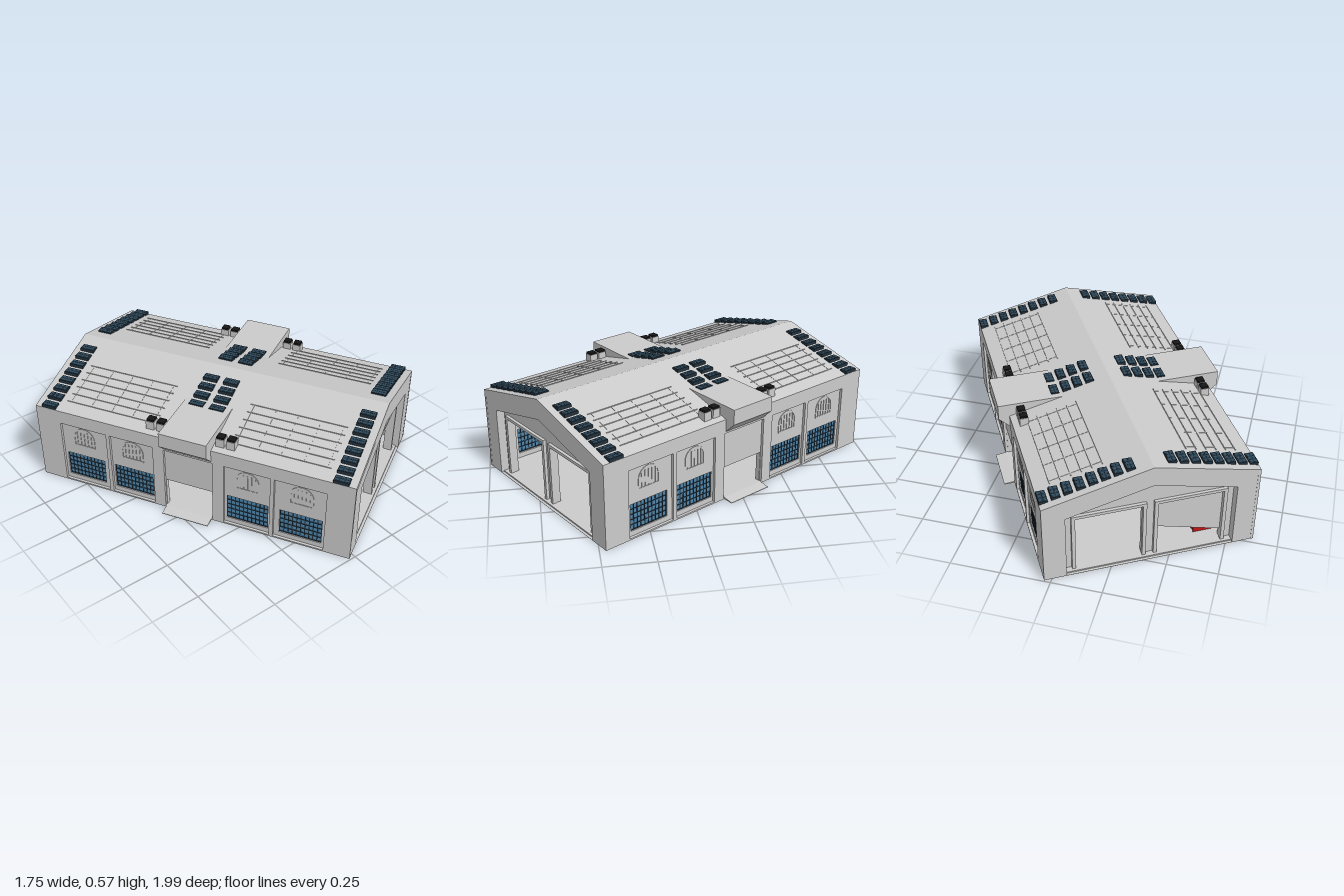
import * as THREE from 'three';

const mat = (color) => new THREE.MeshStandardMaterial({ color, flatShading: true });

export function createModel() {
  const grey = mat(0xcccccc), glass = mat(0x4f86ad), dark = mat(0x22313c), black = mat(0x161616);
  const red = mat(0xc01515), yellow = mat(0xd8c21c), green = mat(0x1f6b35);
  const W = 0.525, L = 0.845, EAVE = 0.44, RIDGE = 0.57;
  const roofY = (x) => RIDGE - (RIDGE - EAVE) * Math.abs(x) / W;

  const box = (parent, name, size, pos, material = grey) => {
    const m = new THREE.Mesh(new THREE.BoxGeometry(...size), material);
    m.position.set(...pos);
    m.name = name;
    parent.add(m);
    return m;
  };
  const poly = (pts, Type = THREE.Shape) => new Type(pts.map((p) => new THREE.Vector2(...p)));
  const rect = (a, b, c, d, Type = THREE.Path) => poly([[a, c], [b, c], [b, d], [a, d]], Type);
  const extrude = (parent, name, shape, depth, z = 0, holes = [], material = grey) => {
    shape.holes.push(...holes);
    const g = new THREE.ExtrudeGeometry(shape, { depth, bevelEnabled: false, curveSegments: 6 });
    const m = new THREE.Mesh(g, material);
    m.position.z = z;
    m.name = name;
    parent.add(m);
    return m;
  };
  // Round-headed outline
  const arch = (cx, r, y0, y1, Type) => {
    const s = new Type();
    s.moveTo(cx - r, y0);
    s.lineTo(cx + r, y0);
    s.lineTo(cx + r, y1 - r);
    s.absarc(cx, y1 - r, r, 0, Math.PI, false);
    s.lineTo(cx - r, y0);
    return s;
  };

  const hall = new THREE.Group();
  hall.name = 'hall';
  box(hall, 'floor', [2 * W - 0.02, 0.008, 2 * L - 0.03], [0, 0.004, 0]);

  // Roof slab
  extrude(hall, 'roof', poly([[-W, EAVE - 0.03], [0, RIDGE - 0.03], [W, EAVE - 0.03], [W, EAVE],
    [0, RIDGE], [-W, EAVE]]), 2 * L, -L);

  // Long side walls with five bays, lower grid windows and arched upper windows
  const windows = [-0.586, -0.31, 0.31, 0.586];
  const bays = [[-0.71, -0.45], [-0.43, -0.19], [-0.13, 0.13], [0.19, 0.43], [0.45, 0.71]];
  const makeSide = (name) => {
    const side = new THREE.Group();
    side.name = name;
    const wall = new THREE.Group(); // local x runs along the wall, z points inward
    wall.rotation.y = -Math.PI / 2;
    wall.position.x = W;
    side.add(wall);
    extrude(wall, 'pilasters', rect(-L, L, 0, EAVE - 0.005, THREE.Shape), 0.014, 0,
      bays.map(([a, b]) => rect(a, b, 0.008, 0.365)));
    extrude(wall, 'bayWall', rect(-L + 0.04, L - 0.04, 0, EAVE - 0.02, THREE.Shape), 0.026, 0.014, [
      rect(-0.127, 0.127, 0.008, 0.172),
      ...windows.map((c) => rect(c - 0.108, c + 0.108, 0.035, 0.177))]);
    windows.forEach((c) => {
      box(wall, 'windowGlass', [0.216, 0.142, 0.006], [c, 0.106, 0.025], glass);
      for (let i = 0; i <= 10; i++)
        box(wall, 'windowBar', [0.004, 0.142, 0.012], [c - 0.106 + i * 0.0212, 0.106, 0.025], dark);
      for (let i = 0; i <= 5; i++)
        box(wall, 'windowBar', [0.216, 0.004, 0.012], [c, 0.037 + i * 0.0276, 0.025], dark);
      // Arched blind window with trim and bars, glazed on the inside
      extrude(wall, 'archTrim', arch(c, 0.06, 0.24, 0.352, THREE.Shape), 0.004, 0.011,
        [arch(c, 0.054, 0.246, 0.346, THREE.Path)]);
      for (let i = -2; i <= 2; i++)
        box(wall, 'archBar', [0.004, 0.085, 0.004], [c + i * 0.02, 0.288, 0.013]);
      box(wall, 'innerWindow', [0.11, 0.065, 0.003], [c, 0.272, 0.041], glass);
      for (let i = 0; i <= 5; i++)
        box(wall, 'innerWindowBar', [0.004, 0.065, 0.005], [c - 0.055 + i * 0.022, 0.272, 0.042], dark);
    });
    // Sloping doorstep in the middle bay
    const ramp = extrude(side, 'ramp', poly([[0.5, 0], [0.58, 0], [0.58, 0.003], [0.525, 0.01],
      [0.5, 0.01]]), 0.25, -0.125);
    ramp.material = grey;
    // Roof box hanging over the middle bay
    extrude(side, 'roofBox', poly([[0.24, 0.47], [0.5, 0.375], [0.525, 0.375], [0.58, 0.43],
      [0.58, 0.508], [0.24, 0.508]]), 0.25, -0.125);
    // Pairs of roof vents either side of the roof box
    for (const z of [-0.213, -0.157, 0.157, 0.213]) {
      box(side, 'ventBase', [0.044, 0.05, 0.044], [0.47, 0.468, z]);
      box(side, 'ventCap', [0.038, 0.012, 0.038], [0.47, 0.497, z], black);
    }
    return side;
  };
  const leftWall = makeSide('leftWall'), rightWall = makeSide('rightWall');
  rightWall.rotation.y = Math.PI;
  hall.add(leftWall, rightWall);

  // Gable ends: a deep outer frame and a set-back wall with two tall doorways
  const gable = (inset) => poly([[-W + inset, 0], [W - inset, 0], [W - inset, EAVE - 0.01],
    [0, RIDGE - 0.01], [-W + inset, EAVE - 0.01]]);
  const makeGable = (name) => {
    const g = new THREE.Group();
    g.name = name;
    extrude(g, 'gableFrame', gable(0.002), 0.045, L - 0.046,
      [poly([[-0.415, 0.001], [0.415, 0.001], [0.415, 0.36], [0, 0.463], [-0.415, 0.36]], THREE.Path)]);
    extrude(g, 'gableWall', gable(0.02), 0.03, L - 0.075,
      [-1, 1].map((s) => rect(s * 0.2 - 0.165, s * 0.2 + 0.165, 0.008, 0.32)));
    for (const s of [-1, 1]) {
      for (const e of [-1, 1])
        box(g, 'doorPost', [0.018, 0.33, 0.022], [s * 0.2 + e * 0.172, 0.165, L - 0.04]);
      box(g, 'doorLintel', [0.362, 0.016, 0.022], [s * 0.2, 0.327, L - 0.04]);
    }
    return g;
  };
  const frontGable = makeGable('frontGable'), backGable = makeGable('backGable');
  backGable.rotation.y = Math.PI;
  hall.add(frontGable, backGable);

  // Half-lowered, crooked shutter in one rear doorway
  extrude(hall, 'brokenShutter', poly([[-0.37, 0.055], [-0.03, 0.158], [-0.03, 0.325],
    [-0.37, 0.325]]), 0.008, -L + 0.055);

  // Skylights: a row at each end of both slopes, and two short rows in the middle
  const skylight = (x, z) => {
    const y = roofY(x) + 0.003;
    box(hall, 'skylightFrame', [0.042, 0.018, 0.076], [x, y, z], dark);
    for (const dx of [-0.0095, 0.0095])
      for (const dz of [-0.024, 0, 0.024])
        box(hall, 'skylightPane', [0.013, 0.003, 0.018], [x + dx, y + 0.0085, z + dz], mat(0x2f4c60));
  };
  for (const s of [-1, 1]) for (const e of [-1, 1]) {
    for (let i = 0; i < 8; i++) skylight(s * (0.097 + i * 0.058), e * 0.77);
    for (let i = 0; i < 4; i++) skylight(s * (0.1 + i * 0.06), e * 0.055);
    // Roof ribs: long battens crossed by thin rafters
    for (let i = 0; i < 6; i++) {
      const x = s * (0.2 + i * 0.05);
      box(hall, 'batten', [0.004, 0.005, 0.5], [x, roofY(x) + 0.001, e * 0.45]);
    }
    for (let i = 0; i < 5; i++) {
      const r = box(hall, 'rafter', [0.26, 0.003, 0.004], [s * 0.325, roofY(0.325), e * (0.22 + i * 0.115)]);
      r.rotation.z = -s * Math.atan((RIDGE - EAVE) / W);
    }
  }

  // Ribbed cargo containers standing inside
  const container = (name, w, l, x, z, material) => {
    const c = new THREE.Group();
    c.name = name;
    box(c, 'containerBody', [w, 0.058, l], [x, 0.037, z], material);
    const n = Math.round(l / 0.025);
    for (let i = 0; i <= n; i++)
      box(c, 'containerRib', [w + 0.006, 0.06, 0.006], [x, 0.038, z - l / 2 + i * l / n], material);
    hall.add(c);
  };
  container('redContainer', 0.09, 0.5, -0.3, -0.48, red);
  container('yellowContainer', 0.08, 0.07, -0.2, -0.45, yellow);
  container('greenContainer', 0.08, 0.07, -0.2, -0.53, green);

  hall.rotation.y = Math.PI / 6;
  const model = new THREE.Group();
  model.name = 'warehouse';
  model.add(hall);
  return model;
}
